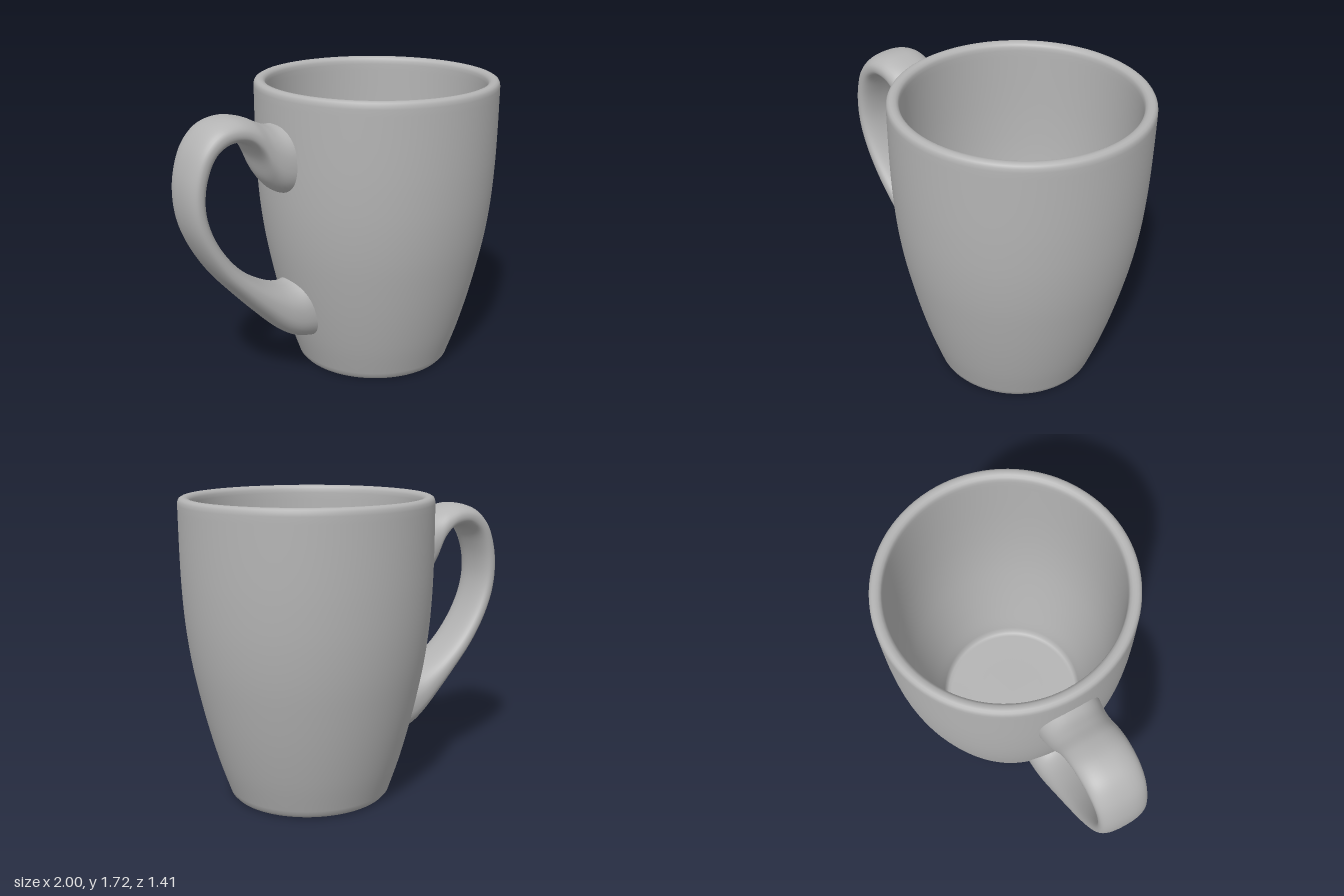
import * as THREE from 'three';

const CUP_X = 0.295; // the cup sits off centre to balance the handle

const v2 = ([x, y]) => new THREE.Vector2(x, y);
const v3 = ([x, y]) => new THREE.Vector3(x, y, 0);

// Cup: one closed lathe profile from under the base, up the outside, over the rim and down inside
function cupGeometry() {
  const base = [[0, 0.05], [0.2, 0.05], [0.34, 0.05], [0.385, 0.032], [0.415, 0.006], [0.43, 0], [0.447, 0.004], [0.463, 0.022]].map(v2);
  const outside = new THREE.SplineCurve([
    [0.463, 0.022], [0.522, 0.2], [0.577, 0.4], [0.623, 0.6], [0.661, 0.8], [0.686, 1.0], [0.699, 1.2], [0.704, 1.4], [0.705, 1.675],
  ].map(v2)).getPoints(40);
  const rim = [[0.703, 1.694], [0.696, 1.707], [0.684, 1.714], [0.67, 1.715], [0.655, 1.712], [0.643, 1.703], [0.637, 1.69]].map(v2);
  const inside = new THREE.SplineCurve([
    [0.635, 1.67], [0.634, 1.4], [0.629, 1.2], [0.616, 1.0], [0.591, 0.8], [0.553, 0.6], [0.507, 0.4], [0.462, 0.22], [0.445, 0.14],
  ].map(v2)).getPoints(40);
  const floor = [[0.438, 0.117], [0.425, 0.104], [0.405, 0.1], [0.2, 0.1], [0, 0.1]].map(v2);
  return new THREE.LatheGeometry([...base, ...outside.slice(1), ...rim, ...inside, ...floor], 96);
}

// Handle: rounded cross-sections spanning paired outer and inner edge points [outerX, outerY, innerX, innerY, halfWidth]
const HANDLE = [
  [-0.36, 1.535, -0.36, 1.14, 0.185],
  [-0.45, 1.535, -0.43, 1.165, 0.175],
  [-0.52, 1.56, -0.495, 1.24, 0.165],
  [-0.61, 1.602, -0.545, 1.37, 0.16],
  [-0.72, 1.62, -0.61, 1.455, 0.158],
  [-0.84, 1.585, -0.715, 1.486, 0.155],
  [-0.93, 1.49, -0.81, 1.445, 0.15],
  [-0.985, 1.35, -0.87, 1.33, 0.143],
  [-1.0, 1.21, -0.89, 1.19, 0.14],
  [-0.98, 1.06, -0.87, 1.07, 0.14],
  [-0.92, 0.91, -0.81, 0.935, 0.142],
  [-0.82, 0.75, -0.71, 0.8, 0.145],
  [-0.7, 0.61, -0.6, 0.702, 0.15],
  [-0.55, 0.45, -0.5, 0.64, 0.157],
  [-0.42, 0.325, -0.41, 0.603, 0.165],
  [-0.33, 0.27, -0.35, 0.595, 0.17],
  [-0.21, 0.24, -0.29, 0.61, 0.175],
];

function handleGeometry(steps = 96, sides = 40) {
  const outer = new THREE.CatmullRomCurve3(HANDLE.map((h) => v3([h[0], h[1]])));
  const inner = new THREE.CatmullRomCurve3(HANDLE.map((h) => v3([h[2], h[3]])));
  const width = new THREE.SplineCurve(HANDLE.map((h, i) => new THREE.Vector2(i, h[4])));
  const round = (c) => Math.sign(c) * Math.pow(Math.abs(c), 2 / 2.4);
  const positions = [];
  const indices = [];
  for (let i = 0; i <= steps; i++) {
    const t = i / steps;
    const o = outer.getPoint(t);
    const n = inner.getPoint(t);
    const centre = o.clone().add(n).multiplyScalar(0.5);
    const half = o.clone().sub(n).multiplyScalar(0.5);
    const w = width.getPoint(t).y;
    for (let j = 0; j < sides; j++) {
      const a = (j / sides) * Math.PI * 2;
      const c = round(Math.cos(a));
      positions.push(centre.x + half.x * c, centre.y + half.y * c, w * round(Math.sin(a)));
      if (i < steps) {
        const p = i * sides + j;
        const q = i * sides + ((j + 1) % sides);
        indices.push(p, p + sides, q, q, p + sides, q + sides);
      }
    }
  }
  const g = new THREE.BufferGeometry();
  g.setAttribute('position', new THREE.Float32BufferAttribute(positions, 3));
  g.setIndex(indices);
  g.computeVertexNormals();
  return g;
}

export function createModel() {
  const ceramic = new THREE.MeshStandardMaterial({ color: 0xb4b4b4 });
  ceramic.name = 'grey ceramic';

  const mug = new THREE.Group();
  mug.name = 'mug';

  const cup = new THREE.Mesh(cupGeometry(), ceramic);
  cup.name = 'cup';
  cup.position.x = CUP_X;

  const handle = new THREE.Mesh(handleGeometry(), ceramic);
  handle.name = 'handle';

  mug.add(cup, handle);
  return mug;
}
